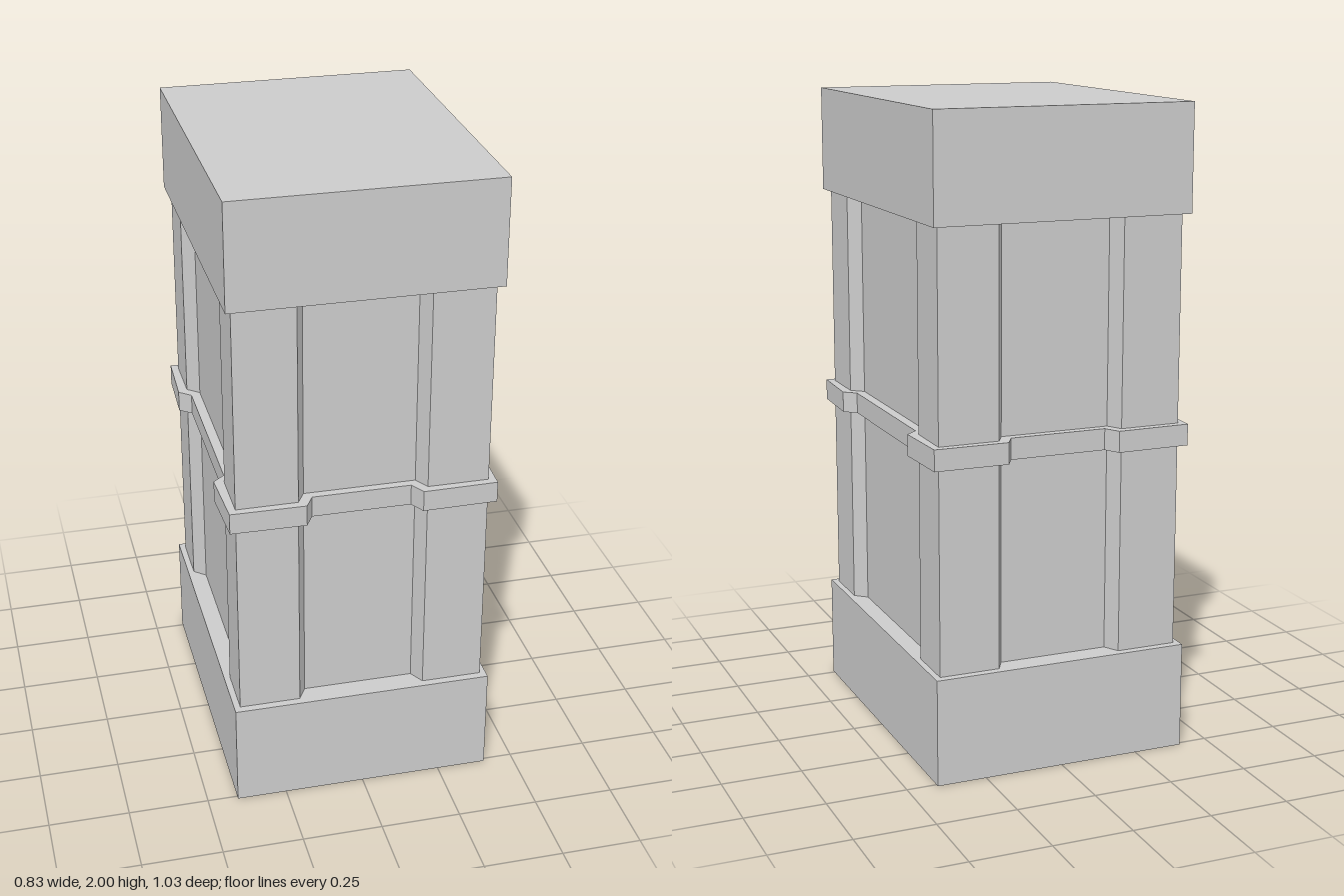
import * as THREE from 'three';

const material = new THREE.MeshStandardMaterial({ color: 0xcccccc, flatShading: true });

// One quarter of a plan outline, as [x, z] from the side recess round to the front recess.
const shaftQuarter = [[0.35, 0.288], [0.387, 0.321], [0.387, 0.487], [0.198, 0.487], [0.172, 0.44]];
const bandQuarter = [[0.38, 0.275], [0.417, 0.307], [0.409, 0.511], [0.178, 0.514], [0.152, 0.467]];

// Mirror a quarter outline into a closed plan.
function mirroredPlan(quarter) {
  const reversed = [...quarter].reverse();
  const points = [
    ...quarter,
    ...reversed.map(([x, z]) => [-x, z]),
    ...quarter.map(([x, z]) => [-x, -z]),
    ...reversed.map(([x, z]) => [x, -z]),
  ];
  return new THREE.Shape(points.map(([x, z]) => new THREE.Vector2(x, z)));
}

// Raise a plan from y0 to y1.
function prism(name, quarter, y0, y1) {
  const geometry = new THREE.ExtrudeGeometry(mirroredPlan(quarter), { depth: y1 - y0, bevelEnabled: false });
  geometry.rotateX(-Math.PI / 2).translate(0, y0, 0);
  const mesh = new THREE.Mesh(geometry, material);
  mesh.name = name;
  return mesh;
}

function block(name, y0, y1) {
  const mesh = new THREE.Mesh(new THREE.BoxGeometry(0.812, y1 - y0, 1.024), material);
  mesh.position.y = (y0 + y1) / 2;
  mesh.name = name;
  return mesh;
}

export function createModel() {
  const group = new THREE.Group();
  group.name = 'pillar';
  group.add(
    block('base', 0, 0.333),
    // Shaft with corner piers and recessed panels
    prism('shaft', shaftQuarter, 0.333, 1.673),
    // Moulding that follows the shaft's recesses
    prism('middleBand', bandQuarter, 0.97, 1.036),
    block('capital', 1.673, 2),
  );
  return group;
}
